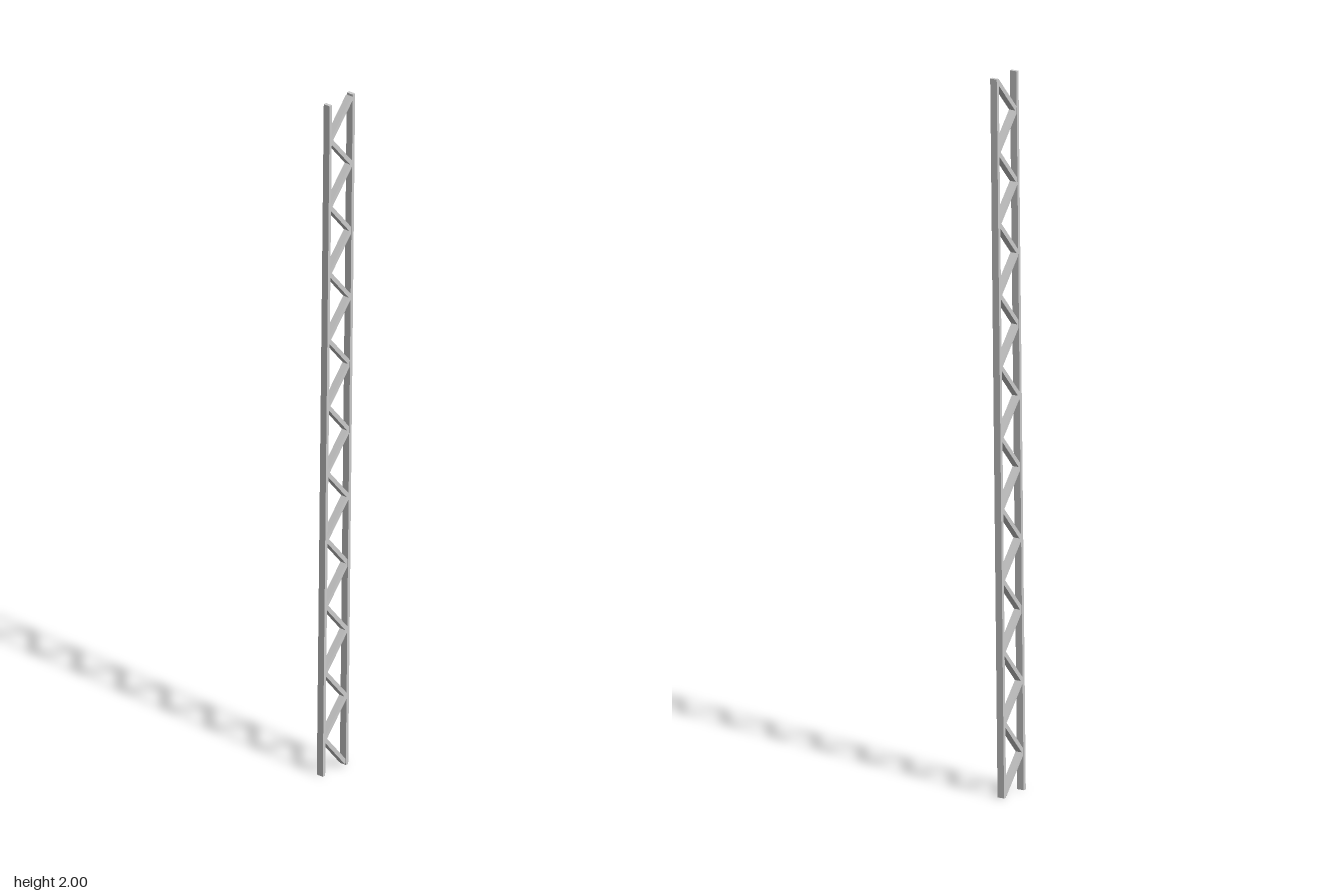
import * as THREE from 'three';

export function createModel() {
  const model = new THREE.Group();
  model.name = 'latticeBeam';
  const material = new THREE.MeshStandardMaterial({ color: 0xcccccc, flatShading: true });

  const height = 2, width = 0.021, chordDepth = 0.01, chordZ = 0.0475;

  // Everything hangs on a slightly leaning frame, pivoted at mid height
  const truss = new THREE.Group();
  truss.name = 'truss';
  truss.position.y = height / 2;
  truss.rotation.set(-0.002, 0, -0.0105);
  model.add(truss);

  const addBox = (name, w, h, d, y, z, tilt = 0) => {
    const mesh = new THREE.Mesh(new THREE.BoxGeometry(w, h, d), material);
    mesh.name = name;
    mesh.position.set(0, y, z);
    mesh.rotation.x = tilt;
    truss.add(mesh);
  };

  // Two long chords
  addBox('frontChord', width, height - 0.0003, chordDepth, 0, chordZ);
  addBox('backChord', width, height - 0.0003, chordDepth, 0, -chordZ);

  // Zigzag web, starting at the foot of the back chord
  const count = 20, low = -0.992, pitch = 1.984 / count;
  const reach = 2 * (chordZ - 0.004);
  const length = Math.hypot(pitch, reach);
  for (let i = 0; i < count; i++) {
    const side = i % 2 === 0 ? 1 : -1; // rises towards front, then back
    addBox('webBrace' + (i + 1), width * 0.92, length, 0.012,
      low + (i + 0.5) * pitch, 0, side * Math.atan2(reach, pitch));
  }
  return model;
}
